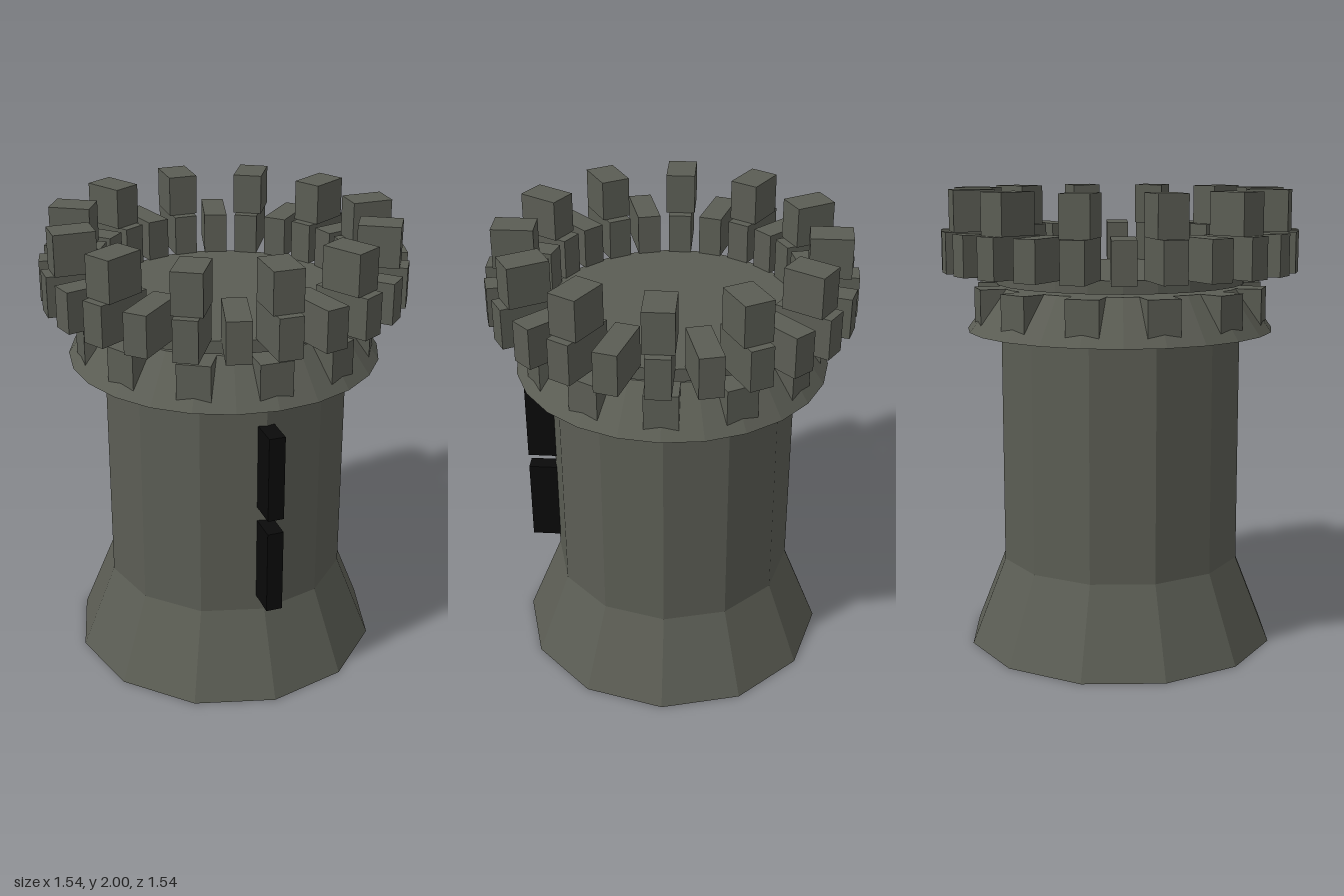
import * as THREE from 'three';

export function createModel() {
  const tower = new THREE.Group();
  tower.name = 'tower';
  const stone = new THREE.MeshStandardMaterial({ color: 0x5b5d54, flatShading: true });
  stone.name = 'stone';
  const slitBlack = new THREE.MeshStandardMaterial({ color: 0x0a0a0a, flatShading: true });
  slitBlack.name = 'slit black';

  const drum = (name, rTop, rBottom, y0, y1, sides) => {
    const mesh = new THREE.Mesh(new THREE.CylinderGeometry(rTop, rBottom, y1 - y0, sides), stone);
    mesh.position.y = (y0 + y1) / 2;
    mesh.name = name;
    tower.add(mesh);
  };

  // Ring of radial blocks spanning r0..r1 and y0..y1
  const blockRing = (name, count, width, r0, r1, y0, y1) => {
    const ring = new THREE.Group();
    ring.name = name + 'Ring';
    const geometry = new THREE.BoxGeometry(width, y1 - y0, r1 - r0);
    geometry.translate(0, (y0 + y1) / 2, (r0 + r1) / 2);
    for (let i = 0; i < count; i++) {
      const block = new THREE.Mesh(geometry, stone);
      block.rotation.y = (i / count) * Math.PI * 2;
      block.name = name;
      ring.add(block);
    }
    tower.add(ring);
  };

  // Flared foot, shaft, collar and the floor of the platform
  drum('base', 0.53, 0.682, 0, 0.38, 12);
  drum('shaft', 0.53, 0.53, 0.38, 1.4, 12);
  drum('collar', 0.53, 0.668, 1.395, 1.585, 24);
  drum('platform', 0.543, 0.543, 1.597, 1.652, 24);

  // Brackets, parapet stones and merlons
  blockRing('bracket', 12, 0.14, 0.48, 0.632, 1.43, 1.585);
  blockRing('parapetStone', 24, 0.1, 0.522, 0.77, 1.652, 1.826);
  blockRing('merlon', 12, 0.126, 0.56, 0.736, 1.826, 2);

  // Arrow slits stacked on the front
  for (const [y0, y1] of [[0.45, 0.825], [0.888, 1.265]]) {
    const slit = new THREE.Mesh(new THREE.BoxGeometry(0.07, y1 - y0, 0.15), slitBlack);
    slit.position.set(0, (y0 + y1) / 2, 0.572);
    slit.name = 'arrowSlit';
    tower.add(slit);
  }
  return tower;
}
